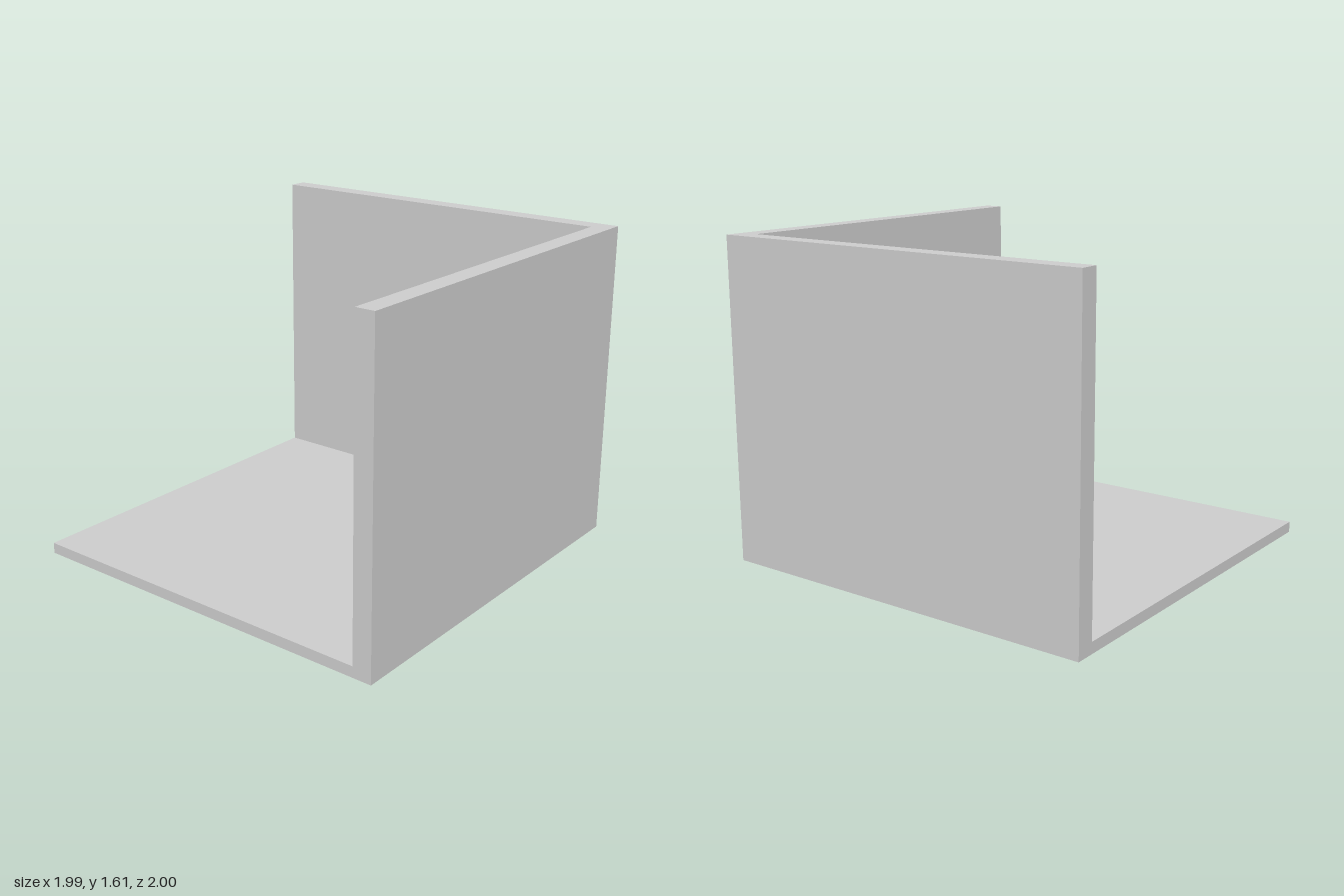
import * as THREE from 'three';

const W = 1.99, D = 2, H = 1.61; // overall size
const FLOOR = 0.055, WALL = 0.097; // thicknesses

export function createModel() {
  const model = new THREE.Group();
  model.name = 'openCorner';
  const material = new THREE.MeshStandardMaterial({ color: 0xcccccc, flatShading: true });
  const x = W / 2, z = D / 2;

  // Square floor slab
  const floor = new THREE.Mesh(new THREE.BoxGeometry(W, FLOOR, D), material);
  floor.name = 'floor';
  floor.position.y = FLOOR / 2;
  model.add(floor);

  // Front and left walls as one L-shaped extrusion (plan drawn as x, -z)
  const plan = new THREE.Shape([
    [-x, -z], [x, -z], [x, z], [x - WALL, z], [x - WALL, -z + WALL], [-x, -z + WALL],
  ].map(([px, py]) => new THREE.Vector2(px, py)));
  const wallGeometry = new THREE.ExtrudeGeometry(plan, { depth: H - FLOOR, bevelEnabled: false });
  wallGeometry.rotateX(-Math.PI / 2);
  const walls = new THREE.Mesh(wallGeometry, material);
  walls.name = 'cornerWalls';
  walls.position.y = FLOOR;
  model.add(walls);

  return model;
}
